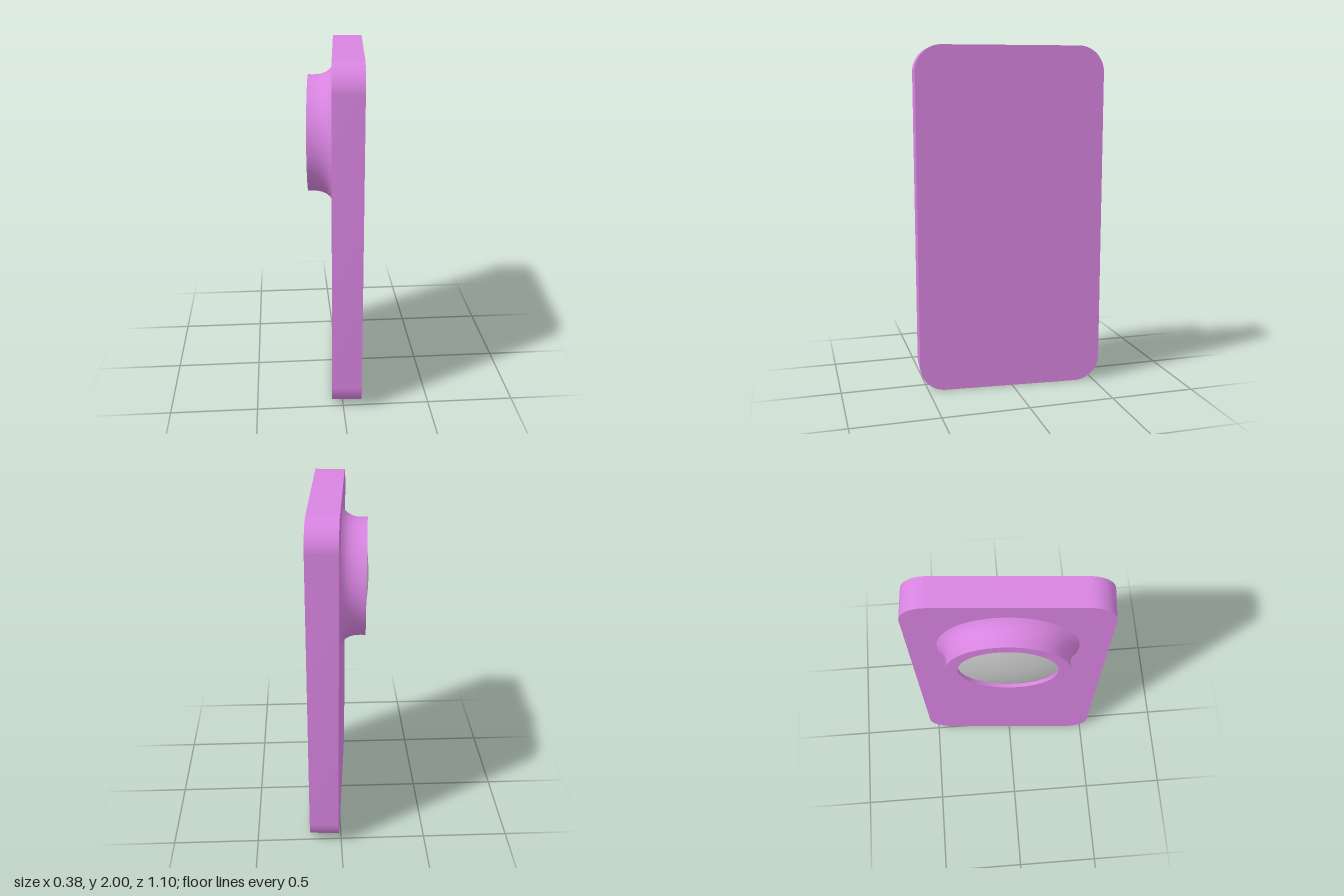
import * as THREE from 'three';
import { toCreasedNormals } from 'three/addons/utils/BufferGeometryUtils.js';

const pink = new THREE.MeshStandardMaterial({ color: 0xd884e0 });
const grey = new THREE.MeshStandardMaterial({ color: 0xcccccc });

const LENGTH = 1.086, HEIGHT = 2, THICK = 0.171, CORNER = 0.15;

function addMesh(parent, name, geometry, material) {
  const mesh = new THREE.Mesh(geometry, material);
  mesh.name = name;
  parent.add(mesh);
  return mesh;
}

// Rectangle with rounded corners, centred on the origin
function roundedRect(w, h, r) {
  const s = new THREE.Shape();
  const x = w / 2 - r, y = h / 2 - r;
  s.absarc(x, y, r, 0, Math.PI / 2);
  s.absarc(-x, y, r, Math.PI / 2, Math.PI);
  s.absarc(-x, -y, r, Math.PI, Math.PI * 1.5);
  s.absarc(x, -y, r, Math.PI * 1.5, Math.PI * 2);
  s.closePath();
  return s;
}

const lathe = (points) =>
  new THREE.LatheGeometry(points.map(([r, y]) => new THREE.Vector2(r, y)), 64);

export function createModel() {
  const model = new THREE.Group();
  model.name = 'slabWithLens';

  // Everything is turned slightly about the vertical axis
  const body = new THREE.Group();
  body.name = 'body';
  body.position.set(0.06, HEIGHT / 2, 0);
  body.rotation.y = -0.0776;
  model.add(body);

  // Flat slab with rounded corners and sharp edges
  const slab = new THREE.ExtrudeGeometry(roundedRect(LENGTH, HEIGHT, CORNER), {
    depth: THICK, bevelEnabled: false, curveSegments: 16,
  });
  slab.translate(0, 0, -THICK / 2).rotateY(Math.PI / 2);
  addMesh(body, 'slab', toCreasedNormals(slab, 0.6), pink);

  // Lens assembly on the -x face, axis pointing outward
  const lens = new THREE.Group();
  lens.name = 'lens';
  lens.position.set(-THICK / 2, 0.508, 0);
  lens.rotation.z = Math.PI / 2;
  body.add(lens);

  // Housing: flared foot, flat rim and inner wall
  const housing = lathe([
    [0.383, 0], [0.363, 0.015], [0.349, 0.033], [0.339, 0.055], [0.333, 0.08],
    [0.331, 0.11], [0.332, 0.138], [0.268, 0.138], [0.268, 0.1],
  ]);
  addMesh(lens, 'lensHousing', toCreasedNormals(housing, 0.6), pink);

  // Shallow glass dome
  const dome = [];
  for (let i = 0; i <= 12; i++) {
    const r = 0.268 * (1 - i / 12);
    dome.push([r, 0.148 - 0.44 * r * r]);
  }
  addMesh(lens, 'lensGlass', lathe(dome), grey);

  return model;
}
